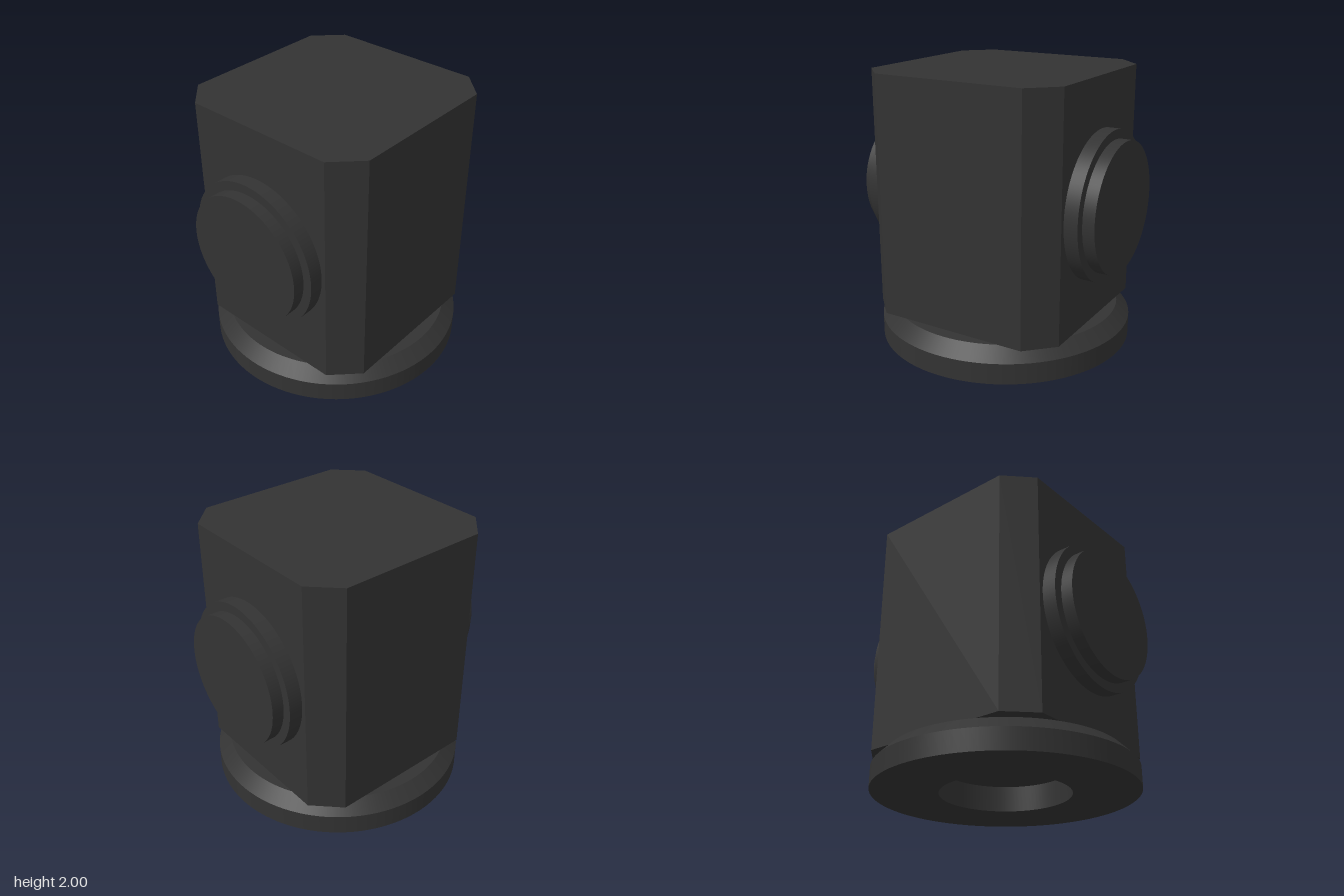
import * as THREE from 'three';

const material = new THREE.MeshStandardMaterial({ color: 0x333333 });

function addMesh(parent, name, geometry) {
  const mesh = new THREE.Mesh(geometry, material);
  mesh.name = name;
  parent.add(mesh);
  return mesh;
}

// Turn a [radius, height] profile, one lathe band per segment so edges stay sharp
function turned(name, profile) {
  const group = new THREE.Group();
  group.name = name;
  for (let i = 0; i < profile.length - 1; i++) {
    const band = [profile[i], profile[i + 1]].map(([r, y]) => new THREE.Vector2(r, y));
    addMesh(group, name + 'Surface', new THREE.LatheGeometry(band, 96));
  }
  return group;
}

export function createModel() {
  const model = new THREE.Group();
  model.name = 'housing';

  // Square block with chamfered vertical corners
  const w = 0.755, c = 0.567, baseTop = 0.247;
  const outline = new THREE.Shape(
    [[c, -w], [w, -c], [w, c], [c, w], [-c, w], [-w, c], [-w, -c], [-c, -w]]
      .map(([x, y]) => new THREE.Vector2(x, y)));
  const block = new THREE.ExtrudeGeometry(outline, { depth: 2 - baseTop, bevelEnabled: false });
  block.rotateX(-Math.PI / 2);
  addMesh(model, 'body', block).position.y = baseTop;

  // Round base flange with a chamfered rim and a blind recess underneath
  model.add(turned('baseFlange', [
    [0, 0.187], [0.465, 0.187], [0.465, 0], [0.942, 0],
    [0.942, 0.152], [0.847, baseTop], [0, baseTop],
  ]));

  // Stepped round caps on both sides
  for (const side of [1, -1]) {
    const cap = turned(side > 0 ? 'leftCap' : 'rightCap', [
      [0.537, 0.75], [0.537, 0.855], [0.47, 0.855], [0.47, 0.942], [0, 0.942],
    ]);
    cap.rotation.z = -side * Math.PI / 2;
    cap.position.y = 1.097;
    model.add(cap);
  }

  return model;
}
